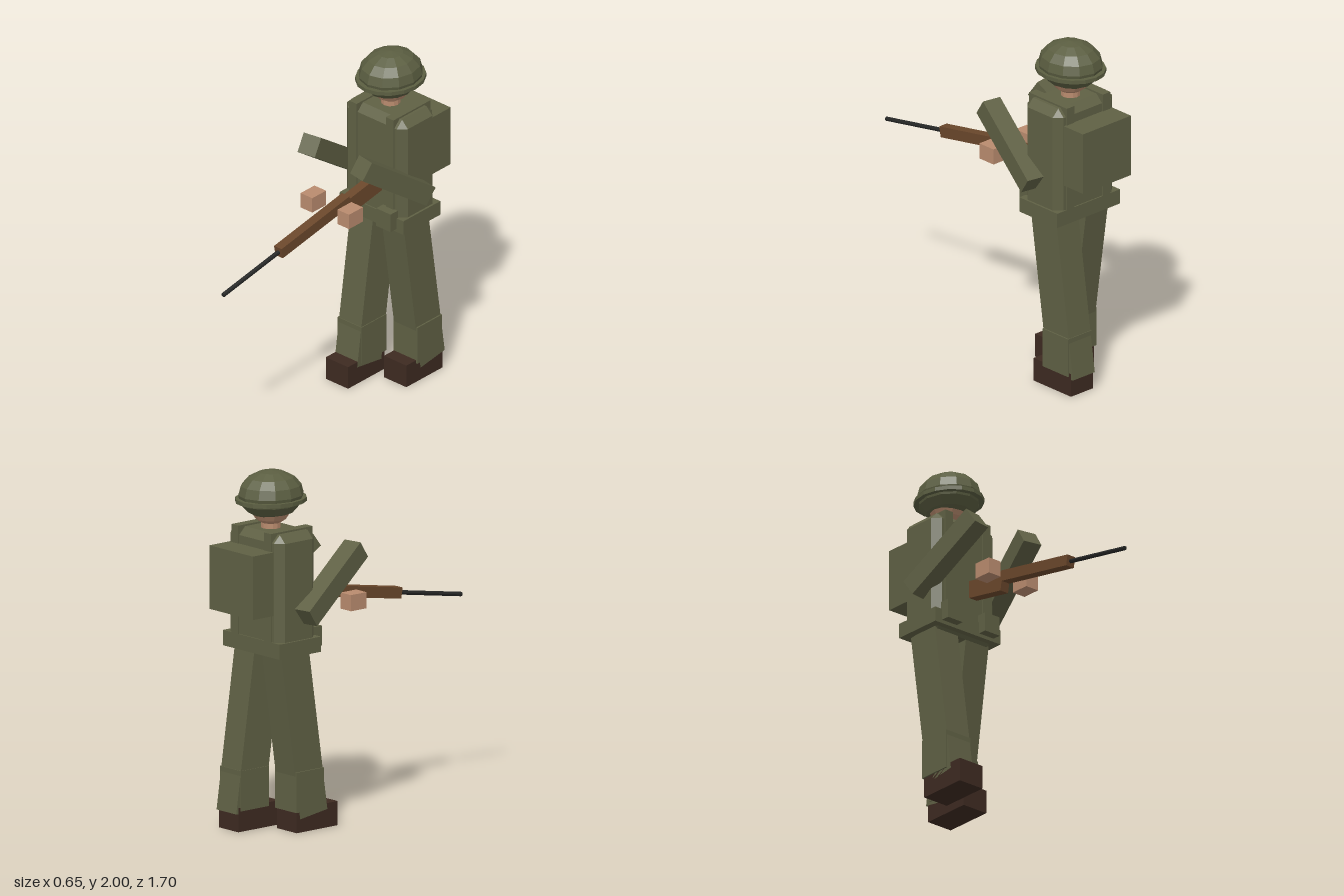
import * as THREE from 'three';
import { ConvexGeometry } from 'three/addons/geometries/ConvexGeometry.js';

const paint = (name, color) => {
  const m = new THREE.MeshStandardMaterial({ color, flatShading: true });
  m.name = name;
  return m;
};

export function createModel() {
  const cloth = paint('olive cloth', 0x5f6044);
  const helmetGreen = paint('helmet green', 0x5b5e41);
  const skin = paint('skin', 0xb98b6e);
  const wood = paint('wood', 0x6a472b);
  const leather = paint('dark leather', 0x3d2a21);
  const steel = paint('dark steel', 0x252625);

  const model = new THREE.Group();
  model.name = 'soldier';
  const add = (name, geo, mat, x, y, z, parent = model) => {
    const m = new THREE.Mesh(geo, mat);
    m.name = name;
    m.position.set(x, y, z);
    parent.add(m);
    return m;
  };
  const box = (name, mat, w, h, d, x, y, z, parent) =>
    add(name, new THREE.BoxGeometry(w, h, d), mat, x, y, z, parent);

  // Box with every edge cut off at 45 degrees
  const chamferBox = (w, h, d, b) => {
    const pts = [];
    for (const sx of [-1, 1]) for (const sy of [-1, 1]) for (const sz of [-1, 1]) {
      const full = [w / 2, h / 2, d / 2];
      for (let k = 0; k < 3; k++) {
        const c = full.map((v, i) => (i === k ? v : v - b));
        pts.push(new THREE.Vector3(sx * c[0], sy * c[1], sz * c[2]));
      }
    }
    return new ConvexGeometry(pts);
  };

  const bodyZ = -0.555;

  // Torso, belt and pack
  add('torso', chamferBox(0.445, 0.695, 0.285, 0.043), cloth, 0, 1.3325, bodyZ);
  box('belt', cloth, 0.47, 0.085, 0.3, 0, 1.0425, bodyZ);
  box('backpack', cloth, 0.36, 0.355, 0.15, 0, 1.4125, -0.775);

  // Head and neck
  add('neck', new THREE.CylinderGeometry(0.054, 0.054, 0.12, 12), skin, 0, 1.72, -0.5625);
  add('head', new THREE.SphereGeometry(0.12, 12, 8), skin, 0, 1.815, -0.5625);

  // Helmet: squashed dome with a thin oval brim
  const helmet = new THREE.Group();
  helmet.name = 'helmet';
  helmet.position.set(0, 1.865, -0.5625);
  model.add(helmet);
  add('dome', new THREE.SphereGeometry(1, 12, 8), helmetGreen, 0, 0, 0, helmet).scale.set(0.17, 0.135, 0.188);
  add('brim', new THREE.CylinderGeometry(1, 1, 0.022, 16), helmetGreen, 0, -0.028, 0, helmet).scale.set(0.183, 1, 0.206);

  // Paired parts; the right leg (-x) strides forward
  for (const s of [-1, 1]) {
    const side = s > 0 ? 'left' : 'right';
    box(side + 'Strap', cloth, 0.055, 0.69, 0.3, s * 0.135, 1.345, bodyZ);
    box(side + 'Pouch', cloth, 0.105, 0.11, 0.06, s * 0.1335, 1.075, -0.385);

    const arm = box(side + 'Arm', cloth, 0.112, 0.112, 0.537, s * 0.227, 1.372, -0.328);
    arm.rotation.set(-0.613, -s * 0.172, 0, 'YXZ');
    box(side + 'Hand', skin, 0.085, 0.09, 0.112, s * 0.135, 1.22, -0.084);

    const hip = new THREE.Group();
    hip.name = side + 'Leg';
    hip.position.set(s * 0.112, 1.0, bodyZ);
    hip.rotation.x = s * 0.145;
    model.add(hip);
    box('trouserLeg', cloth, 0.163, 0.93, 0.198, 0, -0.457, 0, hip);
    box(side + 'Gaiter', cloth, 0.176, 0.225, 0.201, s * 0.114, 0.2275, bodyZ - s * 0.1);
    box(side + 'Boot', leather, 0.163, 0.135, 0.295, s * 0.112, 0.0675, s > 0 ? -0.6225 : -0.3975);
  }

  // Rifle, built along its own axis from the fore-end tip
  const rifle = new THREE.Group();
  rifle.name = 'rifle';
  rifle.position.set(0.043, 1.16, 0.396);
  rifle.rotation.x = 0.174;
  model.add(rifle);
  box('foreStock', wood, 0.055, 0.062, 0.56, 0, 0, -0.28, rifle);
  box('buttStock', wood, 0.055, 0.1, 0.33, 0, -0.036, -0.708, rifle);
  const barrel = add('barrel', new THREE.CylinderGeometry(0.0125, 0.0125, 0.5, 8), steel, 0, 0, 0.207, rifle);
  barrel.rotation.x = Math.PI / 2;

  return model;
}
